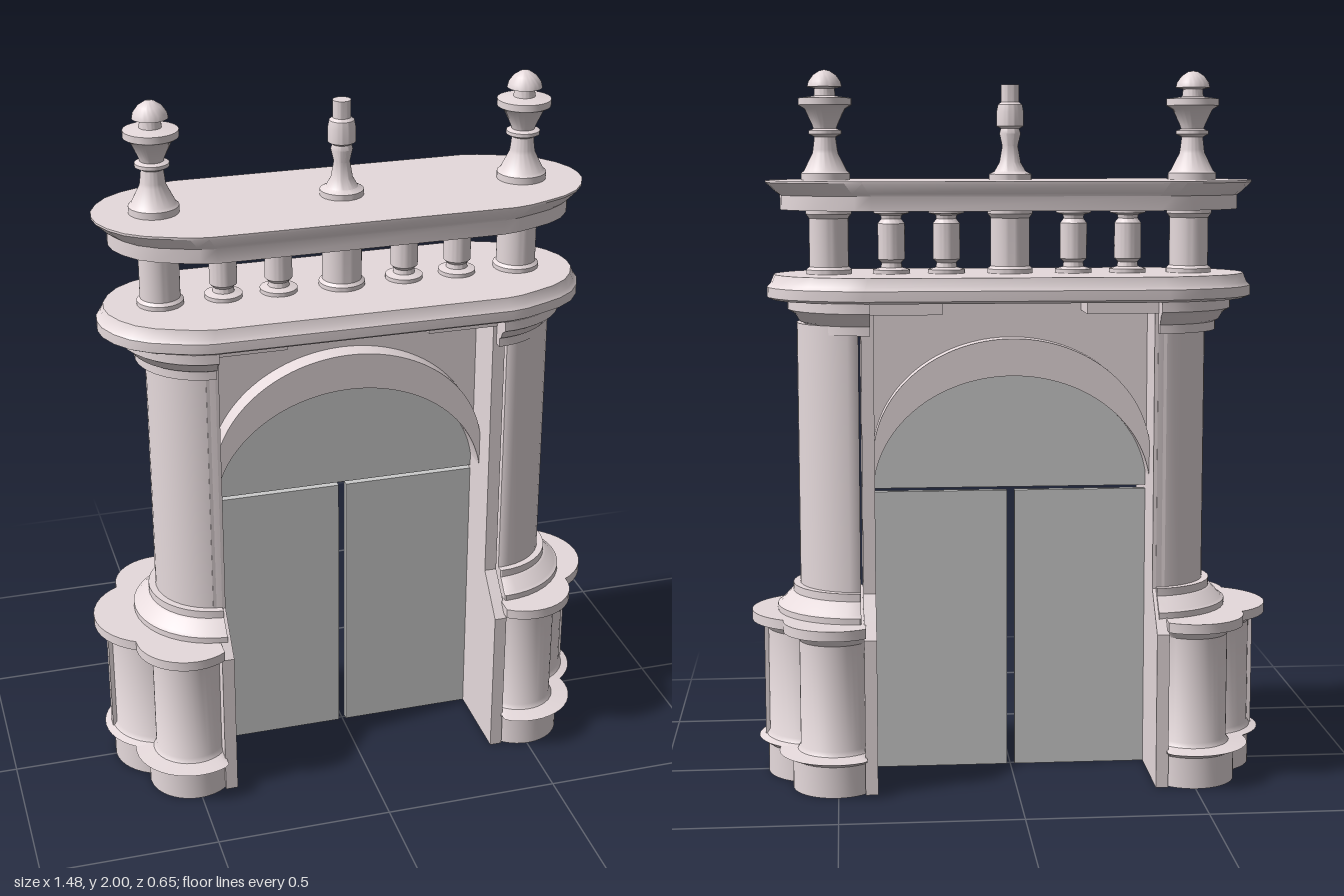
import * as THREE from 'three';
import { toCreasedNormals } from 'three/addons/utils/BufferGeometryUtils.js';

export function createModel() {
  const root = new THREE.Group();
  const stone = new THREE.MeshStandardMaterial({ color: 0xe6dadc });
  const openStone = new THREE.MeshStandardMaterial({ color: 0xe6dadc, side: THREE.DoubleSide });
  const panel = new THREE.MeshStandardMaterial({ color: 0xcccccc });

  const add = (name, geo, mat = stone, parent = root) => {
    const mesh = new THREE.Mesh(geo, mat);
    mesh.name = name;
    parent.add(mesh);
  };
  const box = (x0, x1, y0, y1, z0, z1) =>
    new THREE.BoxGeometry(x1 - x0, y1 - y0, z1 - z0)
      .translate((x0 + x1) / 2, (y0 + y1) / 2, (z0 + z1) / 2);
  // Shape extruded evenly to both sides of z = 0
  const plate = (shape, depth) => toCreasedNormals(
    new THREE.ExtrudeGeometry(shape, { depth, bevelEnabled: false, curveSegments: 32 })
      .translate(0, 0, -depth / 2), 0.5);

  // Turned solid from [radius, y] pairs, optionally cut flat at side * x = limit
  function turned(profile, x = 0, z = 0, side = 0, limit = 0) {
    const geo = new THREE.LatheGeometry(profile.map(([r, y]) => new THREE.Vector2(r, y)), 40);
    geo.translate(x, 0, z);
    if (side) {
      const p = geo.attributes.position;
      for (let i = 0; i < p.count; i++) p.setX(i, side * Math.max(side * p.getX(i), limit));
    }
    return toCreasedNormals(geo, 0.6);
  }

  // Slab with softly lobed ends, stacked from [y, half length, half depth] sections
  const quarter = [[1, 0], [0.992, 0.2], [0.96, 0.42], [0.91, 0.62], [0.84, 0.77],
    [0.76, 0.87], [0.68, 0.96], [0.61, 1]];
  const back = quarter.slice().reverse();
  const loop = [...quarter, ...back.map(([x, z]) => [-x, z]),
    ...quarter.slice(1).map(([x, z]) => [-x, -z]), ...back.slice(0, -1).map(([x, z]) => [x, -z])];
  function slab(sections) {
    const n = loop.length, pos = [], idx = [];
    for (const [y, hx, hz] of sections) for (const [x, z] of loop) pos.push(x * hx, y, z * hz);
    const bottom = pos.length / 3, top = bottom + 1, last = (sections.length - 1) * n;
    pos.push(0, sections[0][0], 0, 0, sections[sections.length - 1][0], 0);
    for (let i = 0; i < n; i++) {
      const j = (i + 1) % n;
      for (let k = 0; k < last; k += n) idx.push(k + i, k + n + i, k + j, k + j, k + n + i, k + n + j);
      idx.push(bottom, i, j, top, last + j, last + i);
    }
    const geo = new THREE.BufferGeometry();
    geo.setAttribute('position', new THREE.Float32BufferAttribute(pos, 3));
    geo.setIndex(idx);
    return toCreasedNormals(geo, 0.6);
  }

  // Side piers
  for (const s of [1, -1]) {
    const pier = new THREE.Group();
    pier.name = s > 0 ? 'leftPier' : 'rightPier';
    root.add(pier);

    // Jamb, wide at the foot and shouldered in above the pedestal
    const side = [[0.265, 0], [0.265, 0.44], [0.225, 0.485], [0.165, 0.55], [0.165, 1.365]];
    const jambShape = new THREE.Shape([...side, ...side.slice().reverse().map(([z, y]) => [-z, y])]
      .map(([z, y]) => new THREE.Vector2(z, y)));
    const jamb = new THREE.ExtrudeGeometry(jambShape, { depth: 0.035, bevelEnabled: false });
    jamb.rotateY(Math.PI / 2).translate(s > 0 ? 0.39 : -0.425, 0, 0);
    add('jamb', jamb, stone, pier);

    // Three-lobed pedestal, open below, with plinth, flared moulding and cap
    for (const [x, z, r] of [[0.505, 0.163, 0.1], [0.505, -0.163, 0.1], [0.56, 0, 0.137]]) {
      const plinth = z ? 0.022 : 0.004, flare = z ? 0.06 : 0.03;
      add('pedestalLobe', turned([[r + plinth, 0], [r + plinth, 0.088], [r + flare, 0.106],
        [r + 0.008, 0.112], [r, 0.125], [r, 0.425], [r + 0.018, 0.45], [r + 0.045, 0.45],
        [r + 0.045, 0.478], [0, 0.478]], s * x, z, s, 0.42), openStone, pier);
    }
    add('pedestalRib', box(s * 0.69 - 0.018, s * 0.69 + 0.018, 0.105, 0.45, -0.015, 0.015), stone, pier);

    // Half-round column; the one at +x stands slightly further out
    const cx = s > 0 ? 0.436 : -0.39;
    add('column', turned([[0, 0.47], [0.232, 0.47], [0.232, 0.495], [0.222, 0.5], [0.195, 0.53],
      [0.187, 0.533], [0.187, 0.555], [0.167, 0.555], [0.167, 1.3], [0, 1.3]],
    cx, 0, s, s > 0 ? 0.432 : 0.4), stone, pier);
    add('capital', turned([[0, 1.275], [0.188, 1.275], [0.188, 1.3], [0.198, 1.305], [0.21, 1.325],
      [0.23, 1.338], [0.23, 1.366], [0, 1.366]], s * 0.398, 0, s, 0.4), stone, pier);

    // Soffit block beside the arch
    add('soffitBlock', box(s * 0.3 - 0.1, s * 0.3 + 0.1, 1.33, 1.37, -0.17, 0.17), stone, pier);
  }

  // Thin wall above the opening
  const wall = new THREE.Shape();
  wall.moveTo(-0.395, 1.366);
  wall.lineTo(-0.395, 0.92);
  wall.absellipse(0, 0.92, 0.393, 0.335, Math.PI, 0, true);
  wall.lineTo(0.395, 1.366);
  add('archWall', plate(wall, 0.05));

  // Crescent arch ring standing proud of the wall on both faces
  const ring = new THREE.Shape();
  ring.absellipse(0, 0.92, 0.393, 0.335, 0, Math.PI, false);
  ring.absellipse(0, 0.82, 0.393, 0.33, Math.PI, 0, true);
  add('archRing', plate(ring, 0.17));

  // Fanlight and the two door leaves
  const fan = new THREE.Shape();
  fan.absellipse(0, 0.822, 0.393, 0.33, 0, Math.PI, false);
  add('fanlight', plate(fan, 0.02), panel);
  add('leftDoor', box(0.01, 0.393, 0, 0.812, -0.01, 0.01), panel);
  add('rightDoor', box(-0.393, -0.012, 0, 0.812, -0.01, 0.01), panel);

  // Cornice and crowning slab
  add('cornice', slab([[1.365, 0.67, 0.228], [1.372, 0.685, 0.238], [1.4, 0.685, 0.238],
    [1.41, 0.675, 0.23], [1.435, 0.665, 0.225]]));
  add('topSlab', slab([[1.615, 0.645, 0.213], [1.655, 0.645, 0.213], [1.662, 0.655, 0.217],
    [1.69, 0.685, 0.232], [1.696, 0.685, 0.232]]));

  // Balustrade
  const postProfile = [[0, 1.43], [0.064, 1.43], [0.064, 1.447], [0.055, 1.455], [0.055, 1.59],
    [0.064, 1.602], [0.064, 1.62], [0, 1.62]];
  for (const x of [-0.51, 0, 0.51]) add('post', turned(postProfile, x));
  const balusterProfile = [[0, 1.43], [0.052, 1.43], [0.052, 1.446], [0.03, 1.452], [0.028, 1.465],
    [0.038, 1.475], [0.038, 1.575], [0.028, 1.588], [0.03, 1.598], [0.05, 1.604], [0.05, 1.62], [0, 1.62]];
  for (const x of [-0.335, -0.18, 0.18, 0.335]) add('baluster', turned(balusterProfile, x));

  // Finials
  const urn = [[0, 1.69], [0.068, 1.69], [0.068, 1.715], [0.06, 1.722], [0.036, 1.77], [0.034, 1.78],
    [0.03, 1.815], [0.046, 1.823], [0.046, 1.833], [0.032, 1.838], [0.036, 1.85], [0.056, 1.892],
    [0.074, 1.903], [0.074, 1.922], [0.03, 1.928], [0.028, 1.948], [0.048, 1.953], [0.045, 1.967],
    [0.032, 1.985], [0.014, 1.997], [0, 2]];
  for (const x of [-0.517, 0.517]) add('urnFinial', turned(urn, x));
  add('centreFinial', turned([[0, 1.69], [0.06, 1.69], [0.06, 1.712], [0.044, 1.72], [0.03, 1.745],
    [0.022, 1.79], [0.03, 1.825], [0.026, 1.838], [0.038, 1.845], [0.038, 1.885], [0.034, 1.905],
    [0.025, 1.912], [0.025, 1.96], [0, 1.96]]));

  return root;
}
